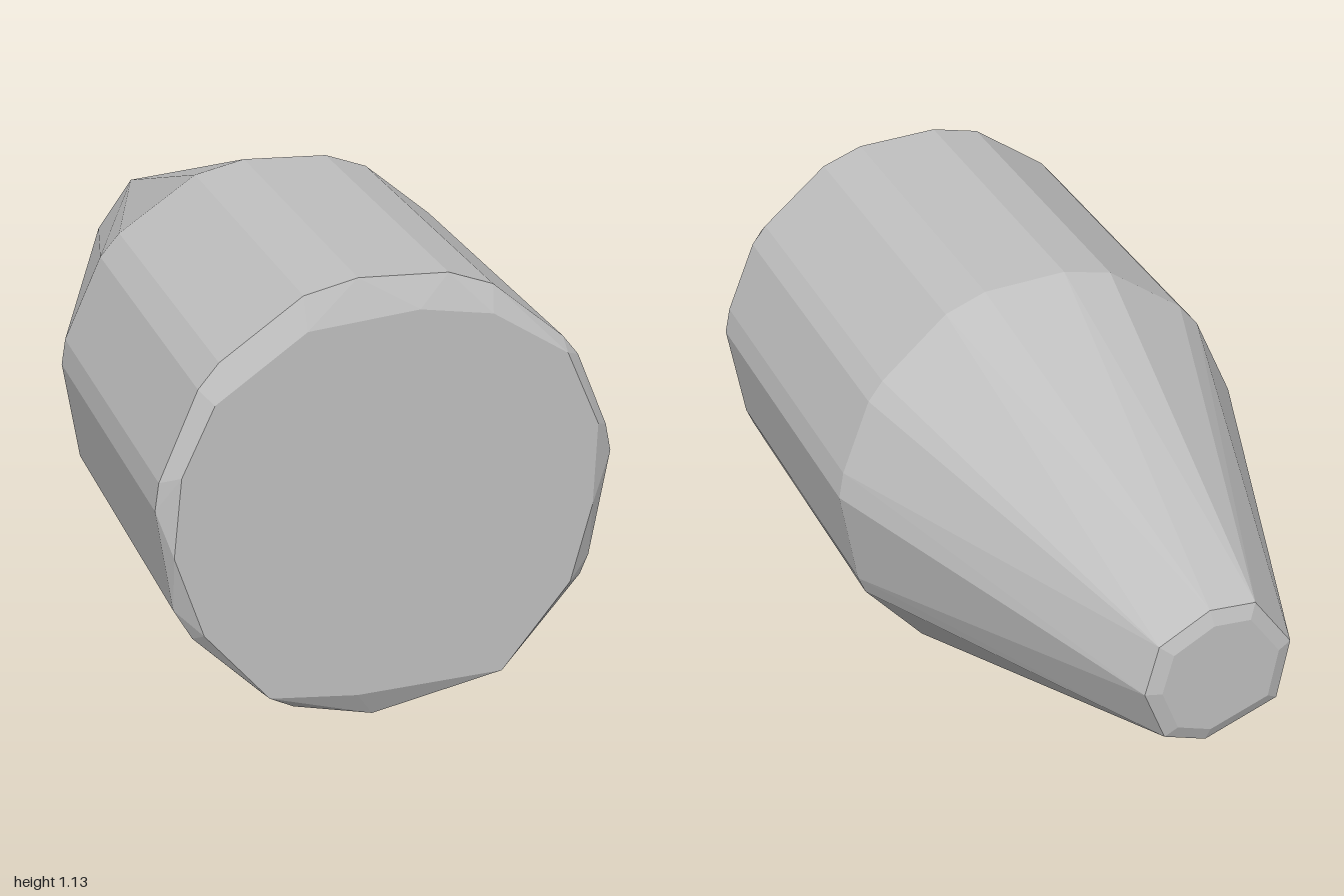
import * as THREE from 'three';
import { ConvexGeometry } from 'three/addons/geometries/ConvexGeometry.js';

const grey = new THREE.MeshStandardMaterial({ color: 0xbfbfbf });
grey.name = 'plain grey';

// irregular body cross-section, counter-clockwise from the lowest point
const outline = [
  [-0.03, 0], [0.25, 0.06], [0.34, 0.11], [0.5, 0.3], [0.52, 0.35], [0.565, 0.62], [0.55, 0.69],
  [0.47, 0.88], [0.43, 0.93], [0.25, 1.08], [0.14, 1.12], [-0.08, 1.13], [-0.21, 1.1], [-0.41, 0.96],
  [-0.46, 0.9], [-0.555, 0.68], [-0.565, 0.61], [-0.525, 0.35], [-0.48, 0.27], [-0.31, 0.1], [-0.23, 0.05],
];
// smaller flat end at the front
const frontCap = [
  [-0.08, 0.075], [0.29, 0.085], [0.46, 0.3], [0.51, 0.5], [0.515, 0.71], [0.43, 0.9], [0.24, 1.02],
  [0.06, 1.05], [-0.21, 1.025], [-0.43, 0.87], [-0.51, 0.7], [-0.53, 0.5], [-0.46, 0.29], [-0.3, 0.1],
];
// blunt tip at the back
const tip = [
  [0, 0.38], [0.11, 0.42], [0.165, 0.56], [0.13, 0.69], [0, 0.76], [-0.12, 0.75], [-0.22, 0.61], [-0.19, 0.45],
];

const section = (points, zAt, scale = 1) => points.map(([x, y]) => new THREE.Vector3(
  -0.03 + (x + 0.03) * scale, 0.57 + (y - 0.57) * scale, zAt(x, y)));

function addHull(group, name, sections) {
  const geometry = new ConvexGeometry(sections.flat());
  const mesh = new THREE.Mesh(geometry, grey);
  mesh.name = name;
  group.add(mesh);
}

export function createModel() {
  const group = new THREE.Group();
  group.name = 'taperedPlug';
  // one closed faceted hull: bevelled front, straight barrel, tapered nose
  addHull(group, 'body', [
    section(frontCap, () => 1),
    section(outline, () => 0.965),
    section(outline, (x, y) => 0.02 + 0.055 * Math.abs(y - 0.565)),
    section(tip, () => -0.985),
    section(tip, () => -1, 0.8),
  ]);
  return group;
}
